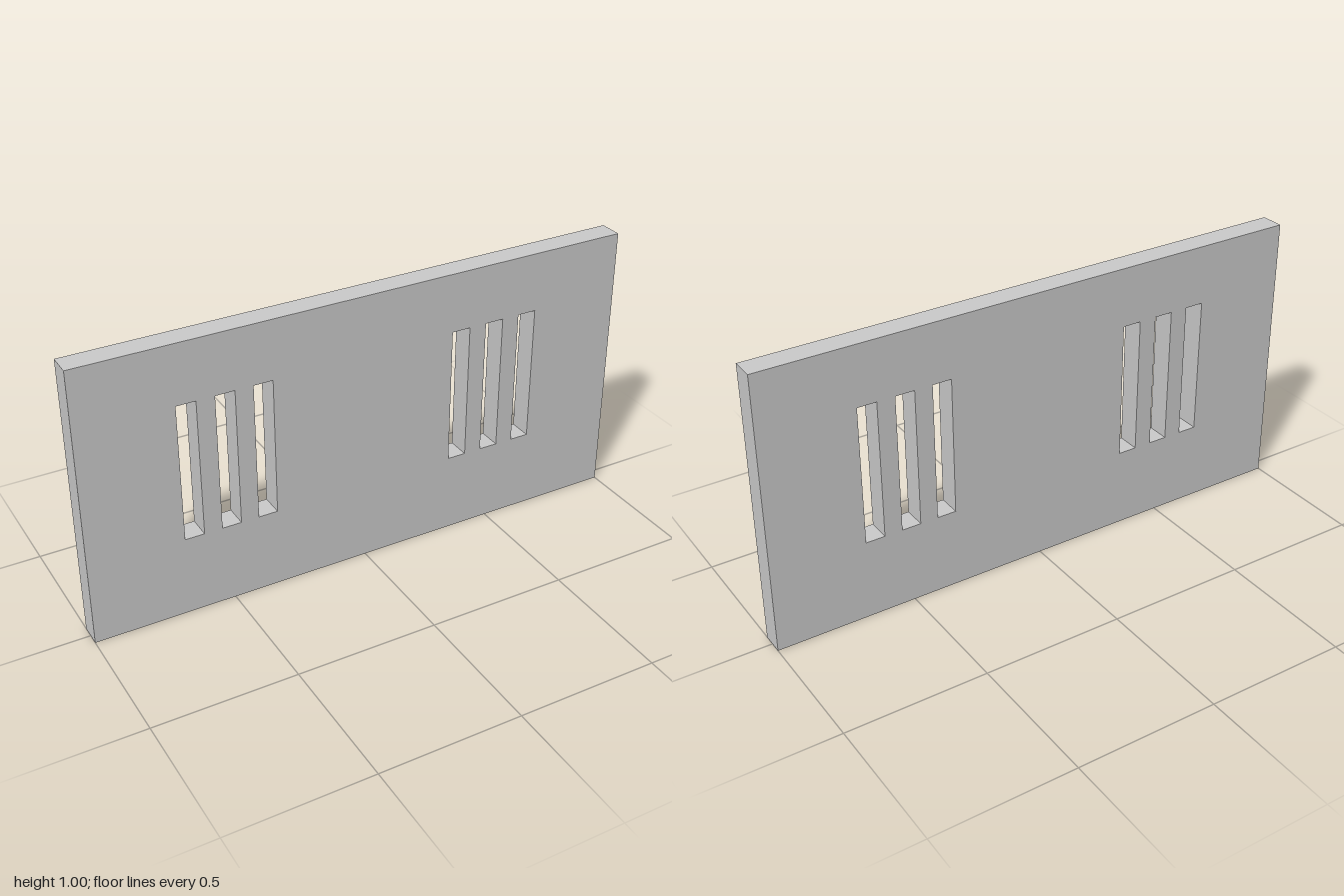
import * as THREE from 'three';

const WIDTH = 2, HEIGHT = 1, DEPTH = 0.083;
const SLOT = { width: 0.068, bottom: 0.29, top: 0.786, pitch: 0.132 };

function rectangle(path, x0, y0, x1, y1) {
  path.moveTo(x0, y0);
  path.lineTo(x1, y0);
  path.lineTo(x1, y1);
  path.lineTo(x0, y1);
  path.closePath();
  return path;
}

export function createModel() {
  const group = new THREE.Group();
  group.name = 'slottedPanel';

  // Panel outline
  const outline = rectangle(new THREE.Shape(), -WIDTH / 2, 0, WIDTH / 2, HEIGHT);

  // Two mirrored groups of three vertical through slots
  for (const side of [-1, 1]) {
    for (const i of [-1, 0, 1]) {
      const x = side * 0.5 + i * SLOT.pitch;
      outline.holes.push(rectangle(new THREE.Path(),
        x - SLOT.width / 2, SLOT.bottom, x + SLOT.width / 2, SLOT.top));
    }
  }

  const geometry = new THREE.ExtrudeGeometry(outline, { depth: DEPTH, bevelEnabled: false });
  geometry.translate(0, 0, -DEPTH / 2);

  const panel = new THREE.Mesh(geometry,
    new THREE.MeshStandardMaterial({ color: 0xcccccc, flatShading: true }));
  panel.name = 'panel';
  group.add(panel);
  return group;
}
